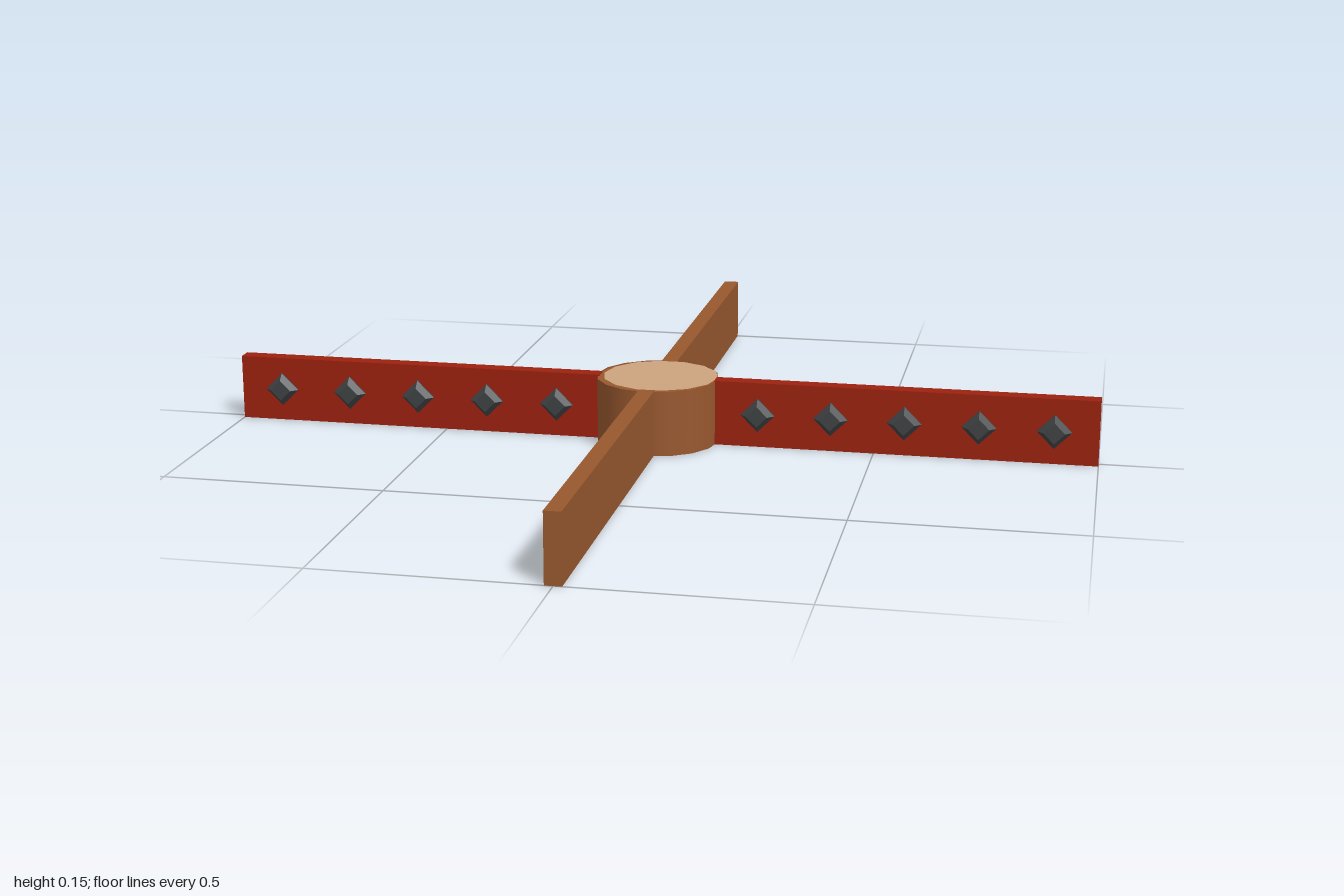
import * as THREE from 'three';

const HEIGHT = 0.15, HUB_RADIUS = 0.14, THICKNESS = 0.036;

function material(name, color, side = THREE.FrontSide) {
  const m = new THREE.MeshStandardMaterial({ color, side });
  m.name = name;
  return m;
}

export function createModel() {
  const group = new THREE.Group();
  const brown = material('brown wood', 0x98582f, THREE.DoubleSide);
  const red = material('red paint', 0x9c220f);
  const tan = material('pale cut wood', 0xcca37d);
  const iron = material('dark iron', 0x3f4244);
  iron.flatShading = true;

  const add = (name, geometry, mat, x = 0, y = 0, z = 0) => {
    const mesh = new THREE.Mesh(geometry, mat);
    mesh.name = name;
    mesh.position.set(x, y, z);
    group.add(mesh);
    return mesh;
  };

  // Hollow hub, open underneath
  add('hubWall', new THREE.CylinderGeometry(HUB_RADIUS, HUB_RADIUS, HEIGHT, 16, 1, true), brown, 0, HEIGHT / 2, 0);
  const disc = (radius, sides) => new THREE.CircleGeometry(radius, sides).rotateX(-Math.PI / 2);
  add('hubLid', disc(HUB_RADIUS, 16), brown, 0, HEIGHT - 0.003, 0);
  add('hubTop', disc(0.132, 14), tan, 0.006, HEIGHT, -0.006);

  // Bevelled diamond stud that passes through the arm
  const profile = [[0, -0.037], [0.024, -0.037], [0.039, -0.022], [0.039, 0.022], [0.024, 0.037], [0, 0.037]]
    .map(([r, y]) => new THREE.Vector2(r, y));
  const stud = new THREE.LatheGeometry(profile, 4).rotateX(Math.PI / 2);

  // Four arms: red studded pair along x, plain wooden pair along z
  const inner = HUB_RADIUS - 0.006, length = 1 - inner, middle = inner + length / 2;
  const redArm = new THREE.BoxGeometry(length, HEIGHT, THICKNESS);
  const woodArm = new THREE.BoxGeometry(THICKNESS, HEIGHT, length);
  for (const side of [-1, 1]) {
    add('studdedArm', redArm, red, side * middle, HEIGHT / 2, 0);
    add('woodenArm', woodArm, brown, 0, HEIGHT / 2, side * middle);
    for (let i = 0; i < 5; i++) {
      add('stud', stud, iron, side * (0.235 + i * 0.1665), HEIGHT / 2, 0);
    }
  }
  return group;
}
